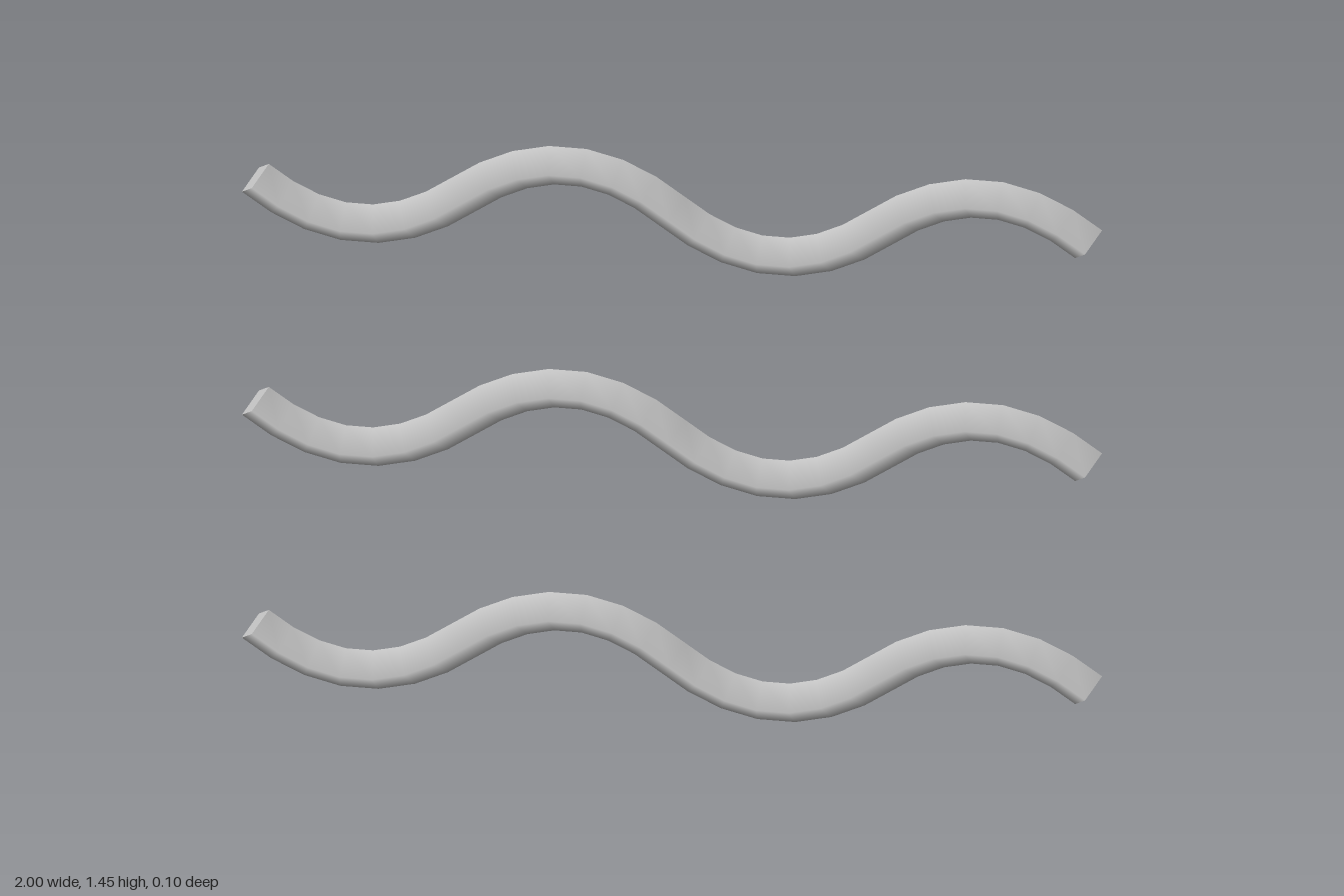
import * as THREE from 'three';

const RADIUS = 0.05, HALF = 0.484, RISE = 0.194, SPACING = 0.582;

// Wave path: four alternating parabolic arcs, trough first
function wavePath() {
  const path = new THREE.CurvePath();
  for (let i = 0; i < 4; i++) {
    const x = (i - 2) * HALF;
    path.add(new THREE.QuadraticBezierCurve3(
      new THREE.Vector3(x, 0, 0),
      new THREE.Vector3(x + HALF / 2, i % 2 ? RISE : -RISE, 0),
      new THREE.Vector3(x + HALF, 0, 0)));
  }
  return path;
}

export function createModel() {
  const model = new THREE.Group();
  model.name = 'waves';
  const grey = new THREE.MeshStandardMaterial({ color: 0xcccccc });
  grey.name = 'light grey';

  const path = wavePath();
  const tube = new THREE.TubeGeometry(path, 28, RADIUS, 4, false);
  const cap = new THREE.CircleGeometry(RADIUS, 4);

  for (let row = 0; row < 3; row++) {
    const wave = new THREE.Group();
    wave.name = 'wave' + (row + 1);

    // Four-sided smooth bar
    const bar = new THREE.Mesh(tube, grey);
    bar.name = 'waveBar';
    wave.add(bar);

    // Flat diamond end caps facing outward along the path
    for (const [name, u, sign] of [['rightEndCap', 0, -1], ['leftEndCap', 1, 1]]) {
      const end = new THREE.Mesh(cap, grey);
      end.name = name;
      end.position.copy(path.getPointAt(u));
      end.lookAt(end.position.clone().addScaledVector(path.getTangentAt(u), sign));
      wave.add(end);
    }

    wave.position.y = 0.15 + row * SPACING;
    model.add(wave);
  }
  return model;
}
